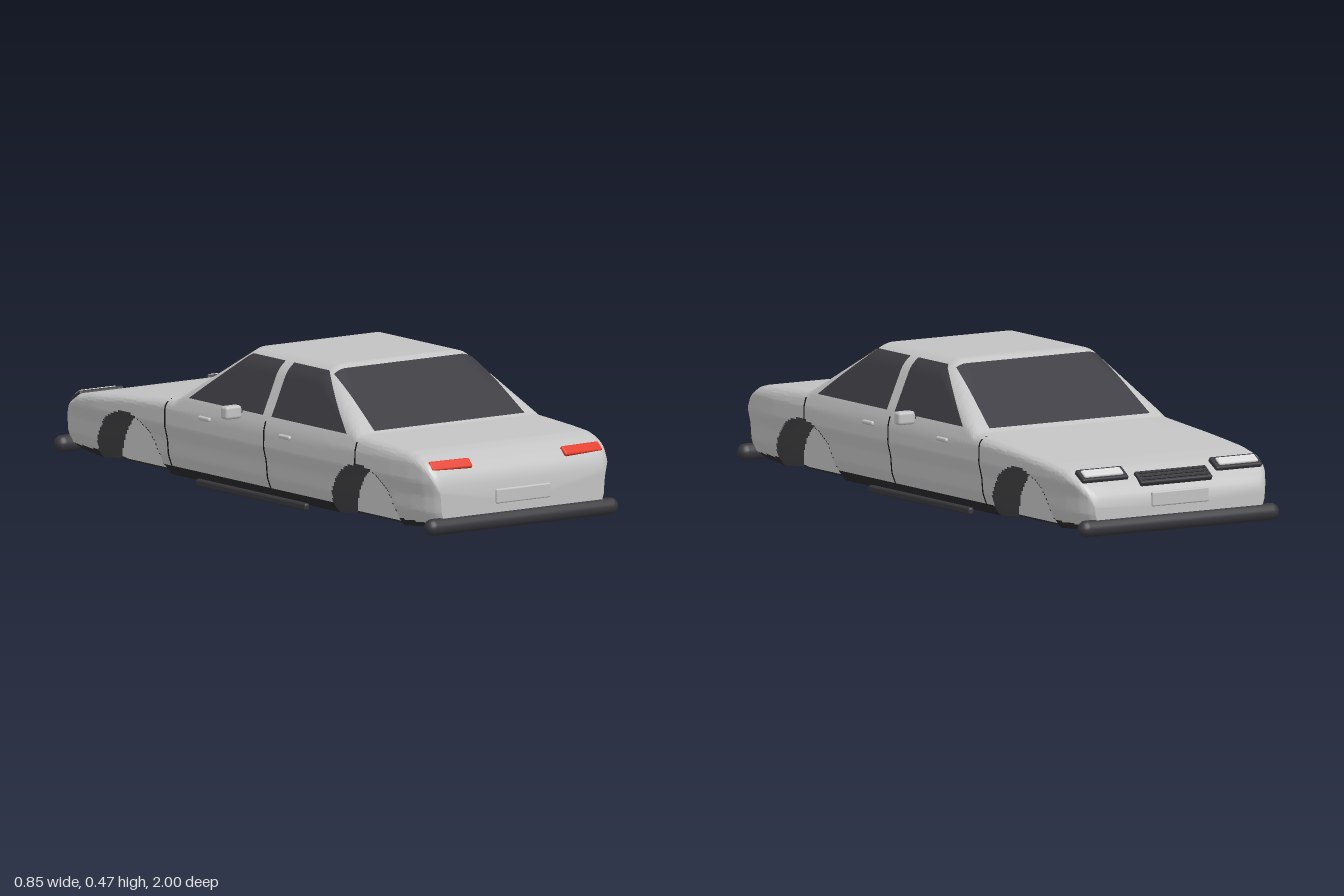
import * as THREE from 'three';
import { toCreasedNormals } from 'three/addons/utils/BufferGeometryUtils.js';
import { RoundedBoxGeometry } from 'three/addons/geometries/RoundedBoxGeometry.js';

const mat = (name, color, side = THREE.FrontSide) => {
  const m = new THREE.MeshStandardMaterial({ color, side });
  m.name = name;
  return m;
};

// Piecewise linear lookup through [input, output] pairs
const lerpTable = (pts) => (v) => {
  if (v <= pts[0][0]) return pts[0][1];
  for (let i = 1; i < pts.length; i++) {
    const [a, p] = pts[i - 1], [b, q] = pts[i];
    if (v <= b) return p + (q - p) * (v - a) / (b - a);
  }
  return pts[pts.length - 1][1];
};

// Body lines: roof height, floor height and plan taper along z, half width over y
const roofY = lerpTable([[-0.982, 0.13], [-0.97, 0.155], [-0.94, 0.185], [-0.88, 0.218], [-0.8, 0.232],
  [-0.6, 0.252], [-0.36, 0.272], [-0.08, 0.465], [0.33, 0.465], [0.6, 0.288], [0.86, 0.272],
  [0.9, 0.262], [0.945, 0.235], [0.97, 0.205], [0.982, 0.17]]);
const floorY = lerpTable([[-0.982, 0.045], [-0.9, 0.02], [-0.75, 0], [0.75, 0], [0.9, 0.02], [0.982, 0.045]]);
const taper = lerpTable([[0, 1], [0.78, 1], [0.87, 0.985], [0.93, 0.96], [0.965, 0.925], [0.982, 0.89]]);
const sideW = lerpTable([[0.02, 0.31], [0.035, 0.325], [0.055, 0.339], [0.09, 0.352], [0.14, 0.356],
  [0.185, 0.367], [0.24, 0.366], [0.28, 0.355], [0.465, 0.275]]);
const cornerR = (z) => 0.025 + 0.035 * THREE.MathUtils.clamp((roofY(z) - 0.28) / 0.185, 0, 1);

const halfX = (z, y) => {
  const r = cornerR(z);
  const k = THREE.MathUtils.clamp((y - roofY(z) + r) / r, 0, 1);
  return sideW(y) * taper(Math.abs(z)) - r * (1 - Math.sqrt(1 - k * k));
};
// Height of the body's upper surface at (x, z)
const topAt = (x, z) => {
  let lo = roofY(z) - cornerR(z) * 1.5, hi = roofY(z);
  if (halfX(z, hi) >= Math.abs(x)) return hi;
  for (let i = 0; i < 24; i++) {
    const m = (lo + hi) / 2;
    if (halfX(z, m) > Math.abs(x)) lo = m; else hi = m;
  }
  return lo;
};

const ARCHES = [0.62, -0.615], ARCH_R = 0.17, ARCH_Y = 0.025, WELL_X = 0.25;
const inWell = (z, y) => ARCHES.some((c) => Math.hypot(z - c, y - ARCH_Y) < ARCH_R);

// Half cross-section from floor centre up to roof centre
function halfSection(z) {
  const T = roofY(z), b = floorY(z), r = cornerR(z), pts = [];
  const y0 = b + 0.02, mid = Math.min(0.2, T - r - 0.01), x0 = halfX(z, y0);
  for (let i = 0; i < 6; i++) pts.push([x0 * i / 6, b + 0.02 * (i / 6) ** 2]);
  for (let i = 0; i < 26; i++) { const y = y0 + (mid - y0) * i / 26; pts.push([halfX(z, y), y]); }
  for (let i = 0; i < 10; i++) { const y = mid + (T - r - mid) * i / 10; pts.push([halfX(z, y), y]); }
  for (let i = 0; i <= 8; i++) { const y = T - r + r * Math.sin(i / 8 * Math.PI / 2); pts.push([halfX(z, y), y]); }
  const xt = halfX(z, T);
  for (let i = 1; i <= 4; i++) pts.push([xt * (1 - i / 4), T]);
  return pts.map(([x, y]) => {
    const well = x > WELL_X && inWell(z, y);
    return { x: well ? WELL_X : x, y, z, well };
  });
}

// Lofted shell, split into painted skin and dark underside with arch lips
function buildShell() {
  const skin = [], dark = [], rows = [], N = 246;
  for (let i = 0; i <= N; i++) {
    const half = halfSection(-0.982 + 1.964 * i / N);
    const mirror = half.slice(1, -1).reverse().map((p) => ({ ...p, x: -p.x }));
    rows.push([...half, ...mirror]);
  }
  const tri = (out, ...ps) => ps.forEach((p) => out.push(p.x, p.y, p.z));
  const pick = (ps) => {
    const wells = ps.filter((p) => p.well).length;
    const y = ps.reduce((s, p) => s + p.y, 0) / ps.length;
    if (wells === ps.length) return y < 0.022 ? dark : skin;
    return wells || y < 0.052 ? dark : skin;
  };
  const M = rows[0].length;
  for (let i = 0; i < N; i++) for (let j = 0; j < M; j++) {
    const k = (j + 1) % M;
    const a = rows[i][j], b = rows[i][k], c = rows[i + 1][k], d = rows[i + 1][j];
    const out = pick([a, b, c, d]);
    tri(out, a, b, c);
    tri(out, a, c, d);
  }
  // End panels
  [0, N].forEach((i) => {
    const row = rows[i], mid = { x: 0, y: 0.1, z: row[0].z };
    row.forEach((p, j) => {
      const q = row[(j + 1) % M];
      if (i) tri(skin, mid, p, q); else tri(skin, mid, q, p);
    });
  });
  return [skin, dark].map((pos) => {
    const g = new THREE.BufferGeometry();
    g.setAttribute('position', new THREE.Float32BufferAttribute(pos, 3));
    return toCreasedNormals(g, 0.7);
  });
}

// Thin sheet following fn(u, v) -> [x, y, z]
function patch(fn, nu = 24, nv = 16) {
  const g = new THREE.PlaneGeometry(1, 1, nu, nv), p = g.attributes.position;
  for (let i = 0; i < p.count; i++) p.setXYZ(i, ...fn(p.getX(i) + 0.5, p.getY(i) + 0.5));
  g.computeVertexNormals();
  return g;
}

export function createModel() {
  const car = new THREE.Group();
  car.name = 'saloonCar';
  const paint = mat('silverPaint', 0xc2c2c2);
  const glass = mat('tintedGlass', 0x3c3b41, THREE.DoubleSide);
  const trim = mat('darkTrim', 0x38373c);
  const under = mat('underbodyBlack', 0x29292b);
  const red = mat('redLens', 0xe23a26);
  const lens = mat('clearLens', 0xd6d6d6);
  const gap = mat('panelGap', 0x18181a, THREE.DoubleSide);

  const add = (name, geo, material, pos = [0, 0, 0], rot = [0, 0, 0]) => {
    const m = new THREE.Mesh(geo, material);
    m.name = name;
    m.position.set(...pos);
    m.rotation.set(rot[0], rot[1], rot[2], 'YXZ');
    car.add(m);
    return m;
  };
  const rbox = (w, h, d, r = 0.006) => new RoundedBoxGeometry(w, h, d, 2, r);

  const [skin, dark] = buildShell();
  add('bodyShell', skin, paint);
  add('underbody', dark, under);

  // Sloping screens: z at roof end, z at base, half width at each
  const screen = (name, zTop, zBase, wTop, wBase) => add(name, patch((u, v) => {
    const z = zBase + (zTop - zBase) * v, x = (u * 2 - 1) * (wBase + (wTop - wBase) * v);
    return [x, topAt(x, z) + 0.004, z + Math.sign(zBase) * 0.002];
  }, 40, 20), glass);
  screen('rearScreen', 0.352, 0.595, 0.268, 0.29);
  screen('windscreen', -0.105, -0.35, 0.262, 0.298);

  for (const s of [1, -1]) {
    const onSide = (z, y, lift) => [s * (halfX(z, y) + lift), y, z];

    // Side windows
    const sideGlass = (name, lo, hi) => add(name, patch((u, v) => {
      const y = 0.285 + 0.163 * v;
      return onSide(lo(y) + (hi(y) - lo(y)) * u, y, 0.003);
    }), glass);
    sideGlass('rearSideWindow', () => 0.145, (y) => 0.54 - (y - 0.285) * 1.29);
    sideGlass('frontSideWindow', (y) => -0.29 + (y - 0.285) * 1.35, () => 0.1);

    // Door shut lines
    for (const [z, y0] of [[0.6, 0.197], [0.12, 0.052], [-0.4, 0.052]]) {
      add('doorGap', patch((u, v) => onSide(z + (u - 0.5) * 0.007, y0 + (0.268 - y0) * v, 0.0015), 1, 20), gap);
    }

    // Door handles, mirrors and sill rails
    for (const z of [0.232, -0.19]) add('doorHandle', rbox(0.014, 0.014, 0.06), paint, [s * 0.368, 0.234, z]);
    add('mirrorHousing', rbox(0.062, 0.042, 0.036, 0.01), paint, [s * 0.394, 0.282, -0.015]);
    add('mirrorArm', new THREE.CylinderGeometry(0.006, 0.006, 0.03, 10), trim, [s * 0.358, 0.28, -0.015], [0, 0, Math.PI / 2]);
    add('sillRail', rbox(0.02, 0.024, 0.58, 0.008), trim, [s * 0.323, 0.016, 0]);

    // Lamps
    add('tailLamp', rbox(0.15, 0.022, 0.036), red, [s * 0.253, 0.229, 0.942], [0.75, s * 0.06, 0]);
    add('headlampSurround', rbox(0.17, 0.026, 0.056), trim, [s * 0.248, 0.199, -0.915], [-0.55, 0, 0]);
    add('headlampLens', rbox(0.145, 0.02, 0.034), lens, [s * 0.25, 0.207, -0.92], [-0.55, 0, 0]);

    // Bumper and number plate at each end
    add('bumper', new THREE.CapsuleGeometry(0.027, 0.65, 6, 16), trim, [0, 0.047, s * 0.973], [0, 0, Math.PI / 2])
      .scale.set(1, 1.05, 1);
    add('numberPlate', rbox(0.21, 0.046, 0.014, 0.005), paint, [0, 0.123, s * 0.982]);
  }

  // Grille with slats
  add('grille', rbox(0.265, 0.024, 0.056), trim, [0, 0.181, -0.941], [-0.6, 0, 0]);
  for (let i = 0; i < 3; i++) {
    const t = (i - 1) * 0.015;
    add('grilleSlat', rbox(0.25, 0.006, 0.005, 0.002), under, [0, 0.191 + t * 0.56, -0.948 + t * 0.83], [-0.6, 0, 0]);
  }
  return car;
}
